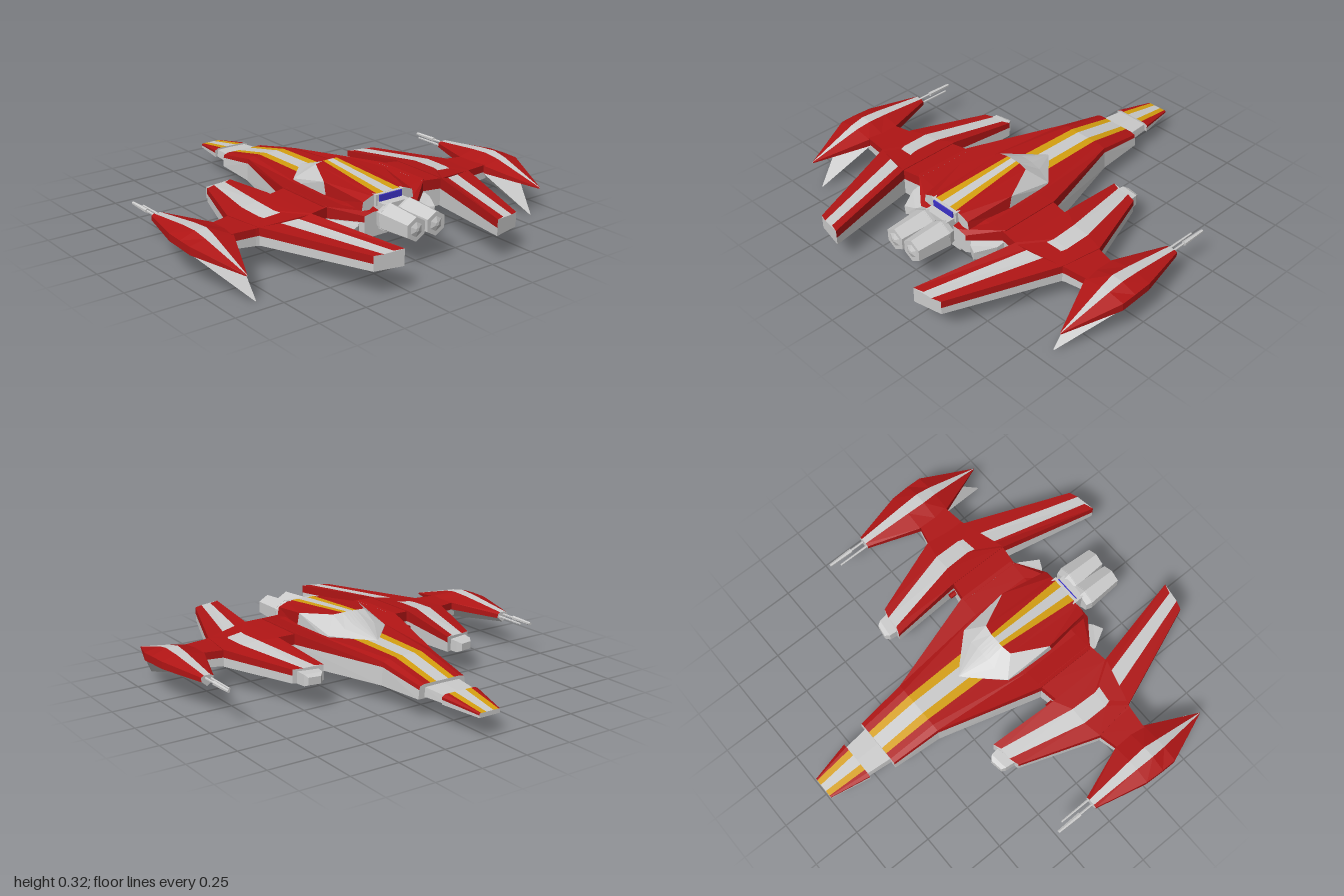
import * as THREE from 'three';

const RED = 0xb01515, GREY = 0xcccccc, GOLD = 0xd6a010, BLUE = 0x3c32c8;
const materials = {};
const paint = (color) => (materials[color] ??= new THREE.MeshStandardMaterial({ color, flatShading: true, side: THREE.DoubleSide }));

// Skins a row of cross-sections; colors[j] paints the strip after point j (or colors(i, j)).
// The side s = -1 mirrors the part in x.
function loft(name, rings, colors, { s = 1, closed = false, caps = [GREY, GREY] } = {}) {
  const group = new THREE.Group();
  group.name = name;
  const faces = {};
  const tri = (color, a, b, c) => {
    const list = (faces[color] ??= []);
    for (const p of s > 0 ? [a, b, c] : [a, c, b]) list.push(p[0] * s, p[1], p[2]);
  };
  const n = rings[0].length;
  for (let i = 0; i + 1 < rings.length; i++) {
    for (let j = 0; j < (closed ? n : n - 1); j++) {
      const k = (j + 1) % n, color = typeof colors === 'function' ? colors(i, j) : colors[j];
      tri(color, rings[i][j], rings[i + 1][j], rings[i][k]);
      tri(color, rings[i + 1][j], rings[i + 1][k], rings[i][k]);
    }
  }
  const first = rings[0], last = rings[rings.length - 1];
  for (let j = 1; j + 1 < n; j++) {
    if (caps[0] !== null) tri(caps[0], first[0], first[j], first[j + 1]);
    if (caps[1] !== null) tri(caps[1], last[0], last[j + 1], last[j]);
  }
  for (const [color, list] of Object.entries(faces)) {
    const geometry = new THREE.BufferGeometry();
    geometry.setAttribute('position', new THREE.Float32BufferAttribute(list, 3));
    geometry.computeVertexNormals();
    const mesh = new THREE.Mesh(geometry, paint(Number(color)));
    mesh.name = name + 'Panel';
    group.add(mesh);
  }
  return group;
}

// Half hull section: ridge, stripes, shoulder, side edge, colour line, bottom corner, keel
const hull = (z, white, gold, shoulder, edge, top, edgeY, mid, low, flare = 0.008) => [
  [0, top, z], [white, top, z], [gold, top, z], [shoulder, top, z], [edge, edgeY, z],
  [edge + flare / 2, mid, z], [edge + flare, low, z], [0, low, z],
];
const hullColors = [GREY, GOLD, RED, RED, RED, GREY, GREY];

function tube(name, x, y, z0, z1, r0, r1, sides, color = GREY) {
  const geometry = new THREE.CylinderGeometry(r1, r0, z1 - z0, sides).rotateX(Math.PI / 2);
  const mesh = new THREE.Mesh(geometry, paint(color));
  mesh.position.set(x, y, (z0 + z1) / 2);
  mesh.name = name;
  return mesh;
}

function box(name, w, h, d, x, y, z, color = GREY) {
  const mesh = new THREE.Mesh(new THREE.BoxGeometry(w, h, d), paint(color));
  mesh.position.set(x, y, z);
  mesh.name = name;
  return mesh;
}

// Everything that exists once per side
function buildSide(s) {
  const side = new THREE.Group();
  side.name = s > 0 ? 'leftSide' : 'rightSide';

  // Nose and main hull
  side.add(loft('nose', [
    hull(-1, 0.02, 0.05, 0.054, 0.06, 0.125, 0.122, 0.115, 0.103, 0),
    hull(-0.79, 0.03, 0.065, 0.085, 0.105, 0.158, 0.148, 0.135, 0.112, 0),
  ], hullColors, { s }));
  side.add(loft('hull', [
    hull(-0.66, 0.035, 0.07, 0.105, 0.13, 0.172, 0.165, 0.148, 0.102),
    hull(-0.4, 0.036, 0.078, 0.115, 0.15, 0.225, 0.215, 0.19, 0.098),
    hull(0.13, 0.04, 0.09, 0.2, 0.31, 0.23, 0.248, 0.19, 0.09, 0),
    hull(0.45, 0.04, 0.09, 0.2, 0.31, 0.23, 0.248, 0.19, 0.09, 0),
    hull(0.57, 0.04, 0.07, 0.11, 0.16, 0.21, 0.2, 0.17, 0.1, 0),
  ], (i, j) => (i > 1 && j < 2 ? RED : hullColors[j]), { s }));

  // Canopy glass, then the striped cover behind it
  const rim = [[0, 0.32, 0.1], [0.018, 0.32, 0.1], [0.042, 0.319, 0.1], [0.095, 0.315, 0.11], [0.183, 0.295, 0.29], [0.184, 0.21, 0.31]];
  side.add(loft('canopy', [
    rim.map(() => [0, 0.225, -0.15]),
    [[0, 0.28, 0.01], [0.018, 0.279, 0.01], [0.04, 0.277, 0.01], [0.09, 0.262, 0.01], [0.172, 0.235, 0.03], [0.178, 0.21, 0.04]],
    rim,
  ], [GREY, GREY, GREY, GREY, GREY], { s, caps: [null, null] }));
  side.add(loft('canopyCover', [
    rim,
    [[0, 0.285, 0.545], [0.028, 0.285, 0.545], [0.07, 0.285, 0.545], [0.1, 0.28, 0.545], [0.15, 0.26, 0.545], [0.165, 0.18, 0.545]],
  ], [GREY, GOLD, RED, RED, RED], { s, caps: [null, GREY] }));

  // Wing: stations run outward, each one a front-to-back slab
  const station = (x, front, back, top, mid, low) => [
    [x, top, back], [x, top, front], [x, mid, front], [x, low, front], [x, low, back], [x, mid, back],
  ];
  side.add(loft('wing', [
    station(0.29, 0.13, 0.46, 0.245, 0.19, 0.09),
    station(0.41, 0.15, 0.475, 0.238, 0.185, 0.1),
    station(0.66, 0.2, 0.41, 0.21, 0.172, 0.125),
    station(0.79, 0.23, 0.395, 0.208, 0.17, 0.135),
  ], [RED, RED, GREY, GREY, GREY, RED], { s, closed: true }));

  // Swept boom crossing the wing: inner edge, stripe, outer edge, then round below
  const boom = ([xi, zi], [xa, xb, zs], [xo, zo], [ti, to], [mi, mo], [li, lo]) => {
    const y = (x) => ti + ((to - ti) * (x - xi)) / (xo - xi);
    return [[xi, ti, zi], [xa, y(xa), zs], [xb, y(xb), zs], [xo, to, zo],
      [xo, mo, zo], [xo, lo, zo], [xi, li, zi], [xi, mi, zi]];
  };
  side.add(loft('boom', [
    boom([0.375, -0.23], [0.415, 0.48, -0.215], [0.53, -0.2], [0.2, 0.195], [0.17, 0.165], [0.12, 0.125]),
    boom([0.4, 0.13], [0.49, 0.58, 0.18], [0.675, 0.2], [0.242, 0.213], [0.185, 0.172], [0.096, 0.125]),
    boom([0.4, 0.47], [0.495, 0.58, 0.32], [0.645, 0.41], [0.242, 0.213], [0.185, 0.172], [0.096, 0.125]),
    boom([0.28, 0.99], [0.33, 0.385, 0.975], [0.43, 0.96], [0.212, 0.205], [0.17, 0.168], [0.13, 0.132]),
  ], [RED, GREY, RED, RED, GREY, GREY, GREY, RED], { s, closed: true }));

  // Blunt cap on the boom's forward end
  const plug = (z, x0, x1, y0, y1) => [[x0, y1, z], [x1, y1, z + 0.01], [x1, y0, z + 0.01], [x0, y0, z]];
  side.add(loft('boomCap', [
    plug(-0.285, 0.425, 0.49, 0.13, 0.168), plug(-0.265, 0.405, 0.5, 0.122, 0.18), plug(-0.18, 0.395, 0.512, 0.122, 0.185),
  ], [GREY, GREY, GREY, GREY], { s, closed: true }));
  side.add(tube('boomNozzle', s * 0.385, 0.16, 0.11, 0.16, 0.014, 0.014, 6, RED));

  // Wingtip pod with its raised stripe
  const pod = (z, xi, xa, xb, xo, edge, ridge, low) => [
    [xi, edge, z], [xa, ridge, z], [xb, ridge, z], [xo, edge, z], [xo, low, z], [xi, low, z],
  ];
  side.add(loft('wingtipPod', [
    pod(-0.05, 0.865, 0.882, 0.915, 0.93, 0.192, 0.2, 0.17),
    pod(0.22, 0.768, 0.865, 0.92, 0.995, 0.208, 0.23, 0.17),
    pod(0.32, 0.765, 0.86, 0.922, 1, 0.208, 0.236, 0.17),
    pod(0.4, 0.77, 0.868, 0.918, 1, 0.205, 0.222, 0.165),
    pod(0.68, 0.888, 0.889, 0.891, 0.892, 0.14, 0.142, 0.135),
  ], [RED, GREY, RED, RED, GREY, RED], { s, closed: true }));

  // Drooping fin below the pod
  side.add(loft('wingtipFin', [
    [[0.868, 0.17, -0.05], [0.928, 0.17, -0.05], [0.9, 0.145, -0.05]],
    [[0.768, 0.17, 0.22], [0.995, 0.17, 0.22], [0.87, 0.108, 0.22]],
    [[0.768, 0.168, 0.39], [0.995, 0.168, 0.4], [0.86, 0.08, 0.38]],
    [[0.84, 0.004, 0.67], [0.846, 0.004, 0.67], [0.843, 0, 0.67]],
  ], [GREY, GREY, GREY], { s, closed: true }));

  // Twin gun ahead of the pod
  side.add(tube('gunBarrel', s * 0.905, 0.185, -0.22, -0.04, 0.006, 0.006, 6));
  side.add(tube('gunMuzzle', s * 0.905, 0.185, -0.265, -0.13, 0.008, 0.012, 6));
  side.add(tube('lowerGunBarrel', s * 0.876, 0.178, -0.22, 0, 0.005, 0.007, 6));

  // Wedge-shaped exhaust under the rear shoulder
  side.add(loft('sideExhaust', [
    [[0.16, 0.19, 0.42], [0.31, 0.19, 0.42], [0.31, 0.1, 0.42], [0.16, 0.1, 0.42]],
    [[0.16, 0.175, 0.53], [0.305, 0.175, 0.5], [0.295, 0.115, 0.5], [0.16, 0.11, 0.53]],
    [[0.2, 0.165, 0.575], [0.25, 0.165, 0.6], [0.245, 0.12, 0.6], [0.2, 0.12, 0.575]],
  ], [GREY, GREY, GREY, GREY], { s, closed: true }));

  // Six-sided main engine
  side.add(tube('engineCollar', s * 0.06, 0.19, 0.6, 0.635, 0.062, 0.073, 6));
  side.add(tube('engine', s * 0.06, 0.19, 0.63, 0.815, 0.073, 0.06, 6));
  side.add(tube('engineCone', s * 0.06, 0.19, 0.812, 0.825, 0.045, 0.01, 6));

  // Neck between hull and nose
  side.add(loft('neck', [
    [[0, 0.15, -0.8], [0.085, 0.148, -0.8], [0.09, 0.112, -0.8], [0, 0.112, -0.8]],
    [[0, 0.158, -0.65], [0.1, 0.156, -0.65], [0.105, 0.11, -0.65], [0, 0.11, -0.65]],
  ], [GREY, GREY, GREY], { s }));
  return side;
}

export function createModel() {
  const model = new THREE.Group();
  model.name = 'starfighter';
  model.add(buildSide(1), buildSide(-1));

  // Rear engine mount, window and belly plate
  model.add(box('engineMount', 0.15, 0.13, 0.08, 0, 0.185, 0.57));
  model.add(box('windowFrame', 0.17, 0.055, 0.03, 0, 0.257, 0.545));
  model.add(box('rearWindow', 0.135, 0.036, 0.01, 0, 0.264, 0.562, BLUE));
  model.add(box('bellyPlate', 0.24, 0.015, 0.3, 0, 0.095, 0.42));
  return model;
}
